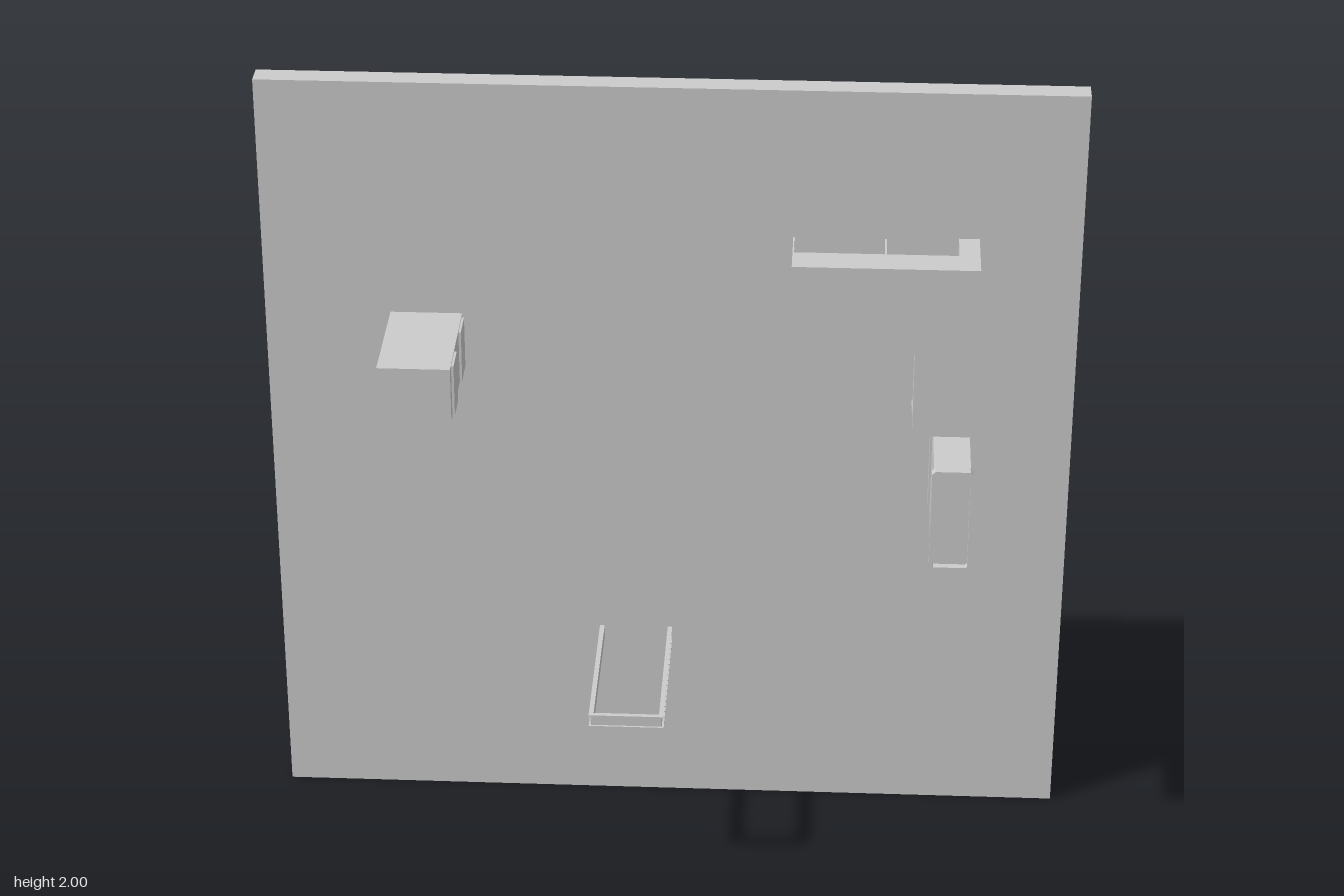
import * as THREE from 'three';

const material = new THREE.MeshStandardMaterial({ color: 0xcccccc, flatShading: true, side: THREE.DoubleSide });

// Box given by its limits on each axis
function block(parent, name, [x0, x1], [y0, y1], [z0, z1]) {
  const mesh = new THREE.Mesh(new THREE.BoxGeometry(x1 - x0, y1 - y0, z1 - z0), material);
  mesh.position.set((x0 + x1) / 2, (y0 + y1) / 2, (z0 + z1) / 2);
  mesh.name = name;
  parent.add(mesh);
}

// Outline in x and y, extruded from z0 to z1
function slab(parent, name, shape, z0, z1) {
  const geometry = new THREE.ExtrudeGeometry(shape, { depth: z1 - z0, bevelEnabled: false });
  geometry.translate(0, 0, z0);
  const mesh = new THREE.Mesh(geometry, material);
  mesh.name = name;
  parent.add(mesh);
}

const outline = (points) => new THREE.Shape(points.map(([x, y]) => new THREE.Vector2(x, y)));

// Rectangle with cut corners
const cutRect = (x0, x1, y0, y1, c) => outline([
  [x0 + c, y0], [x1 - c, y0], [x1, y0 + c], [x1, y1 - c],
  [x1 - c, y1], [x0 + c, y1], [x0, y1 - c], [x0, y0 + c],
]);

function group(parent, name) {
  const g = new THREE.Group();
  g.name = name;
  parent.add(g);
  return g;
}

export function createModel() {
  const model = new THREE.Group();
  const back = -0.175;

  block(model, 'wallPanel', [-1, 1], [0, 2], [-0.255, -0.195]);

  // Box with raised bands on its side
  const box = group(model, 'ribbedBox');
  block(box, 'boxBody', [-0.687, -0.51], [1.257, 1.397], [back, 0.125]);
  for (const z of [[0.02, 0.1], [-0.16, -0.08]]) {
    block(box, 'sideBand', [-0.511, -0.504], [1.26, 1.393], z);
  }

  // U-shaped rail: an inset web between thin lips
  const rail = group(model, 'uRail');
  const [x0, x1, front, y0, y1] = [-0.178, 0.008, 0.253, 0.476, 0.51];
  for (const [name, inset, width, ys] of [
    ['web', 0.005, 0.007, [y0, y1]],
    ['lowerLip', 0, 0.012, [y0, y0 + 0.003]],
    ['upperLip', 0, 0.012, [y1 - 0.003, y1]],
  ]) {
    block(rail, name + 'Right', [x0 + inset, x0 + inset + width], ys, [back, front - inset]);
    block(rail, name + 'Left', [x1 - inset - width, x1 - inset], ys, [back, front - inset]);
    block(rail, name + 'Front', [x0 + inset, x1 - inset], ys, [front - inset - width, front - inset]);
  }

  // Angled bracket with thin fins reaching back to the panel
  const bracket = group(model, 'angledBracket');
  slab(bracket, 'bracketPlate', outline([
    [0.3, 1.48], [0.52, 1.48], [0.6, 1.4], [0.6, 1.18], [0.75, 1.18], [0.75, 1.63], [0.3, 1.63],
  ]), -0.08, 0);
  block(bracket, 'topArm', [0.7, 0.75], [1.58, 1.63], [back, -0.08]);
  for (const x of [0.3, 0.522]) block(bracket, 'uprightFin', [x, x + 0.004], [1.48, 1.625], [back, -0.08]);
  for (const y of [1.18, 1.402]) block(bracket, 'levelFin', [0.6, 0.75], [y, y + 0.004], [back, -0.08]);

  // Housing with a recessed front frame and a rear flange
  const housing = group(model, 'flangedHousing');
  block(housing, 'housingBody', [0.653, 0.742], [0.9, 1.16], [back, 0.15]);
  const frame = cutRect(0.648, 0.748, 0.89, 1.175, 0.008);
  frame.holes.push(cutRect(0.655, 0.741, 0.91, 1.152, 0.004));
  slab(housing, 'frontFrame', frame, 0.145, 0.168);
  slab(housing, 'rearFlange', cutRect(0.648, 0.748, 0.89, 1.175, 0.008), back, -0.125);

  return model;
}
